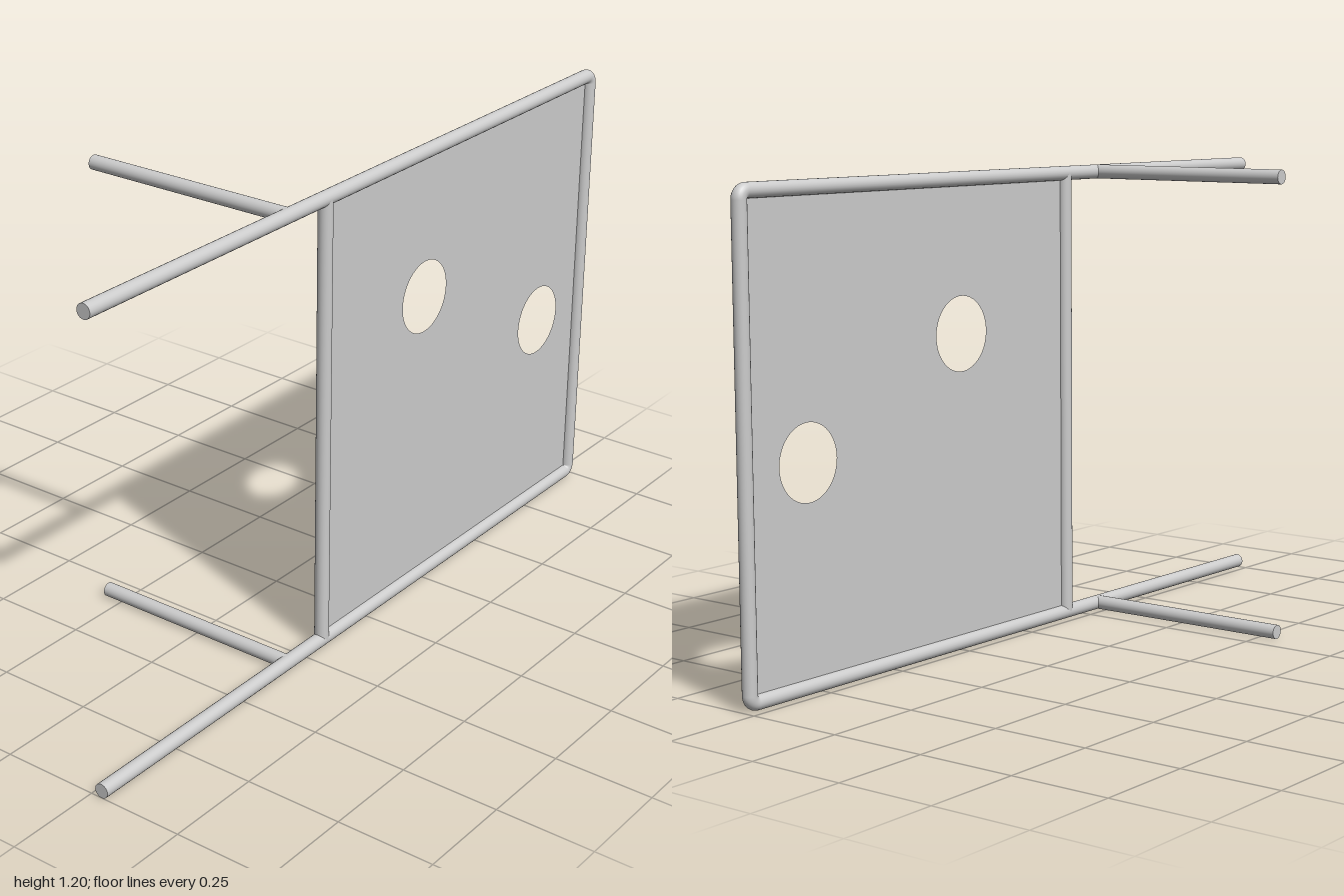
import * as THREE from 'three';

const R = 0.0183;             // pipe radius
const X = 0.28;               // plane of the frame
const LOW = R, HIGH = 1.18;   // rail heights
const BACK = -1 + R, FRONT = 1, POST = 0.18, ARM = 0.32;
const BEND = 0.02;            // bend radius at the back corners

const metal = new THREE.MeshStandardMaterial({ color: 0xcccccc });
const sheet = new THREE.MeshStandardMaterial({ color: 0xcccccc, side: THREE.DoubleSide });

// Straight capped pipe between two points
function pipe(name, from, to) {
  const a = new THREE.Vector3(...from), b = new THREE.Vector3(...to);
  const mesh = new THREE.Mesh(new THREE.CylinderGeometry(R, R, a.distanceTo(b), 24), metal);
  mesh.name = name;
  mesh.position.addVectors(a, b).multiplyScalar(0.5);
  mesh.quaternion.setFromUnitVectors(new THREE.Vector3(0, 1, 0), b.sub(a).normalize());
  return mesh;
}

// Quarter bend joining a rail to the back post
function elbow(name, y, turn) {
  const mesh = new THREE.Mesh(new THREE.TorusGeometry(BEND, R, 24, 10, Math.PI / 2), metal);
  mesh.name = name;
  mesh.position.set(X, y, BACK + BEND);
  mesh.rotation.set(0, Math.PI / 2, turn);
  return mesh;
}

export function createModel() {
  const group = new THREE.Group();
  group.name = 'gateFrame';

  // Upper and lower rails, each with a sideways arm
  for (const [side, y] of [['lower', LOW], ['upper', HIGH]]) {
    group.add(
      pipe(side + 'Rail', [X, y, BACK + BEND], [X, y, FRONT]),
      pipe(side + 'Arm', [-0.298, y, ARM], [X, y, ARM])
    );
  }

  // Posts and bent back corners
  group.add(
    pipe('frontPost', [X, LOW, POST], [X, HIGH, POST]),
    pipe('backPost', [X, LOW + BEND, BACK], [X, HIGH - BEND, BACK]),
    elbow('upperElbow', HIGH - BEND, 0),
    elbow('lowerElbow', LOW + BEND, -Math.PI / 2)
  );

  // Thin panel with two round holes, drawn with -z along the shape's x
  const outline = new THREE.Shape()
    .moveTo(-POST, LOW).lineTo(-BACK - 0.005, LOW)
    .lineTo(-BACK - 0.005, HIGH).lineTo(-POST, HIGH).closePath();
  for (const [u, y] of [[0.235, 0.798], [0.78, 0.547]]) {
    outline.holes.push(new THREE.Path().absarc(u, y, 0.094, 0, Math.PI * 2, true));
  }
  const panel = new THREE.Mesh(new THREE.ShapeGeometry(outline, 32).rotateY(Math.PI / 2), sheet);
  panel.name = 'panel';
  panel.position.x = X;
  group.add(panel);

  return group;
}
